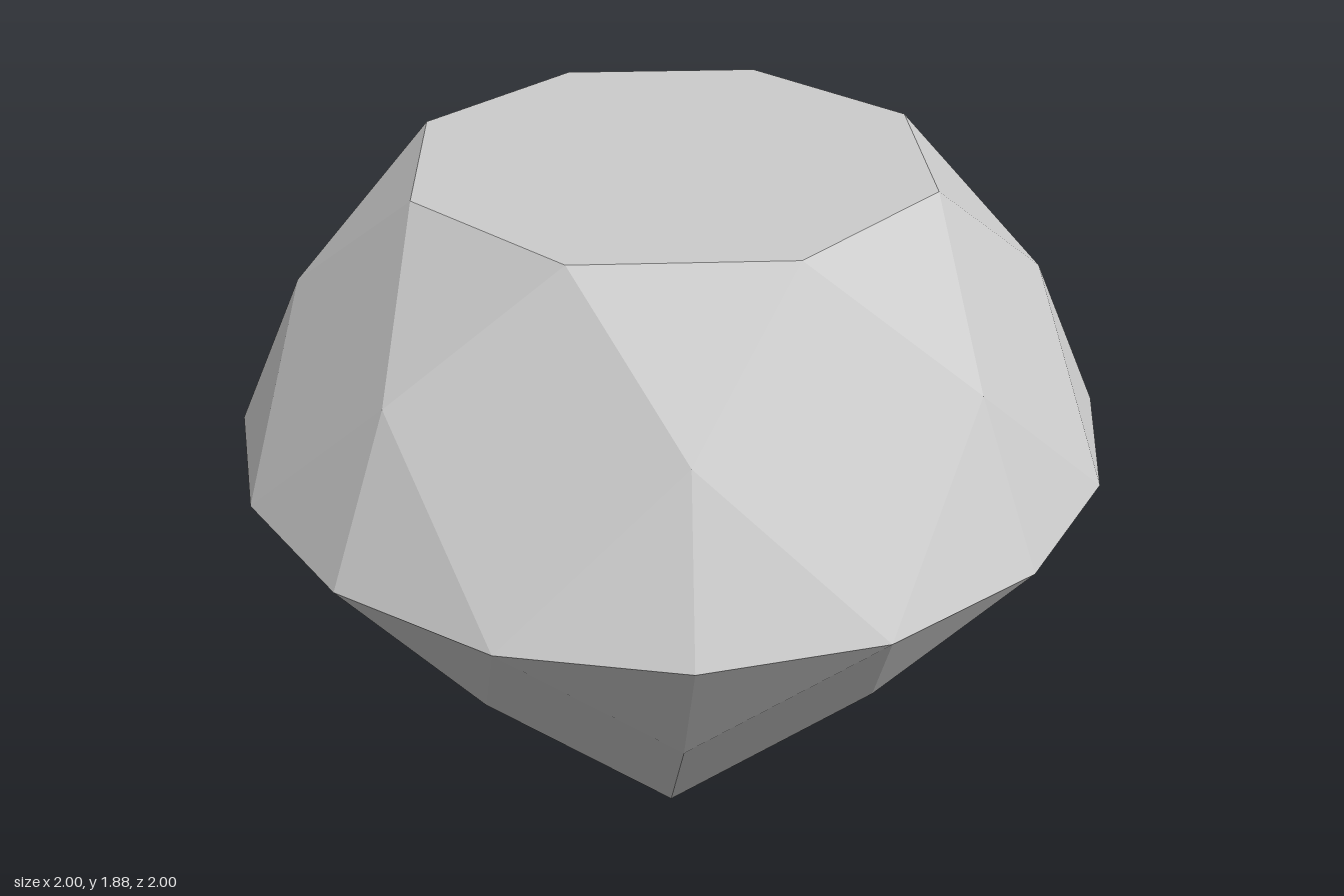
import * as THREE from 'three';

// Ring point: step counts sixteenths of a turn from +z towards +x
const ringPoint = (radius, y, step) => {
  const a = step * Math.PI / 8;
  return [radius * Math.sin(a), y, radius * Math.cos(a)];
};

export function createModel() {
  const group = new THREE.Group();
  group.name = 'cutGem';
  const gemGrey = new THREE.MeshStandardMaterial({ color: 0xcccccc, flatShading: true });
  gemGrey.name = 'gemGrey';

  const table = s => ringPoint(0.586, 1.877, s);
  const crownMid = s => ringPoint(0.833, 1.6, s);
  const girdle = s => ringPoint(1, 1.25, s);
  const pavilionMid = s => ringPoint(0.632, 0.73, s);
  const tip = [0, 0, 0];
  const centre = [0, 1.877, 0];

  // Repeats one eighth of the facets around the stone
  const addFacets = (name, facets) => {
    const positions = [];
    for (let s = 0; s < 16; s += 2) positions.push(...facets(s).flat(2));
    const geometry = new THREE.BufferGeometry();
    geometry.setAttribute('position', new THREE.Float32BufferAttribute(positions, 3));
    geometry.computeVertexNormals();
    const mesh = new THREE.Mesh(geometry, gemGrey);
    mesh.name = name;
    group.add(mesh);
  };

  // Flat octagonal top
  addFacets('table', s => [[centre, table(s), table(s + 2)]]);

  // Upper half: kites, star triangles and girdle triangles
  addFacets('crown', s => [
    [table(s), crownMid(s - 1), crownMid(s + 1)],
    [crownMid(s - 1), girdle(s), crownMid(s + 1)],
    [table(s), crownMid(s + 1), table(s + 2)],
    [girdle(s), girdle(s + 1), crownMid(s + 1)],
    [girdle(s + 1), girdle(s + 2), crownMid(s + 1)],
  ]);

  // Lower half: long kites meeting at the tip, with girdle triangles
  addFacets('pavilion', s => [
    [tip, pavilionMid(s + 1), pavilionMid(s - 1)],
    [pavilionMid(s - 1), pavilionMid(s + 1), girdle(s)],
    [girdle(s), pavilionMid(s + 1), girdle(s + 1)],
    [girdle(s + 1), pavilionMid(s + 1), girdle(s + 2)],
  ]);

  return group;
}
